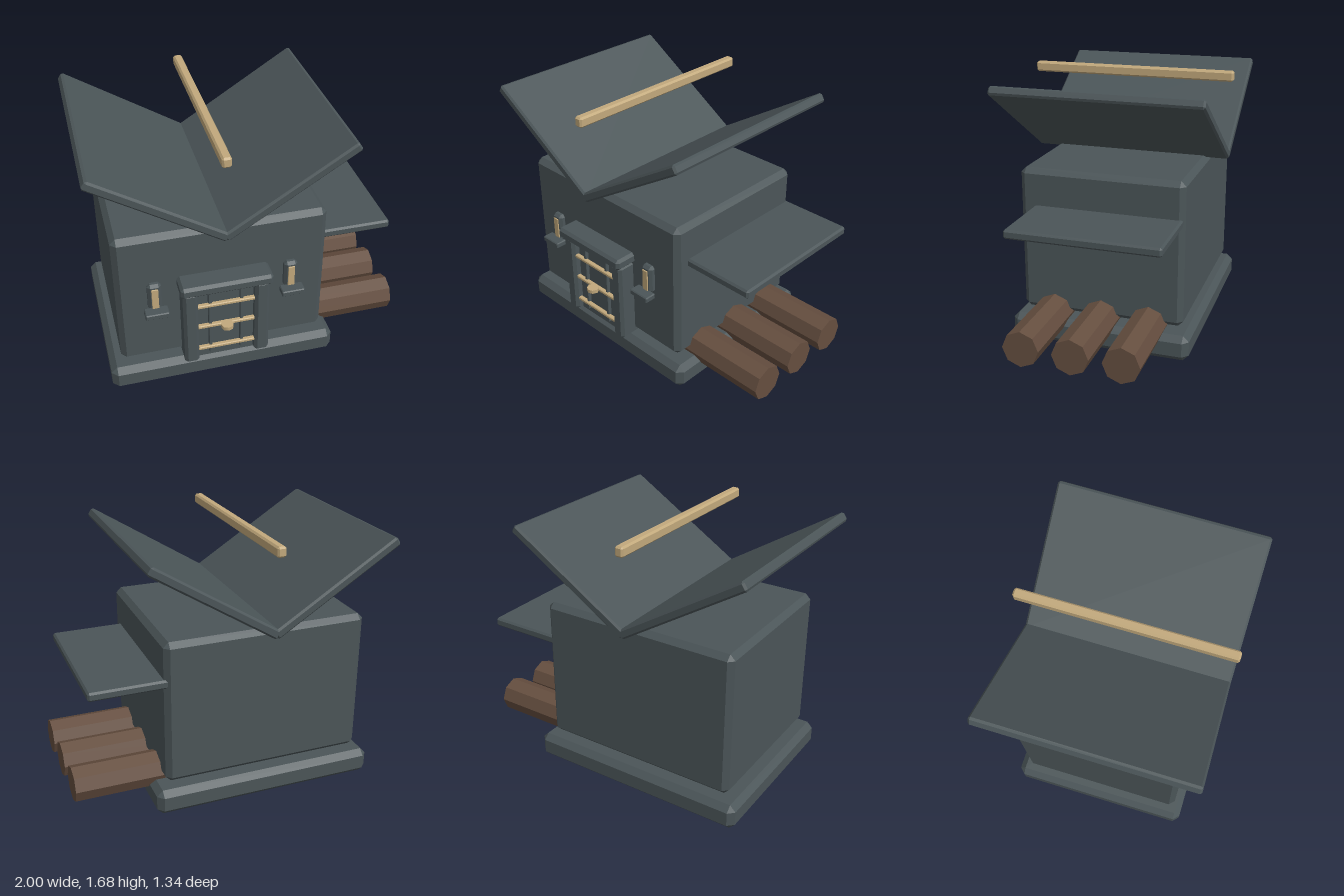
import * as THREE from 'three';
import { ConvexGeometry } from 'three/addons/geometries/ConvexGeometry.js';

const material = (name, color) => {
  const m = new THREE.MeshStandardMaterial({ color });
  m.name = name;
  return m;
};

// Box with flat bevelled edges
function bevelBox(w, h, d, bevel) {
  const half = [w / 2, h / 2, d / 2];
  const points = [];
  for (let axis = 0; axis < 3; axis++)
    for (const sx of [-1, 1]) for (const sy of [-1, 1]) for (const sz of [-1, 1]) {
      const s = [sx, sy, sz];
      points.push(new THREE.Vector3(...half.map((v, i) => s[i] * (i === axis ? v : v - bevel))));
    }
  return new ConvexGeometry(points);
}

export function createModel() {
  const slate = material('slate', 0x4b5558);
  const timber = material('pale timber', 0xc2a97c);
  const bark = material('brown log', 0x654e3f);
  const model = new THREE.Group();
  model.name = 'hut';
  const midX = -0.21;

  const add = (name, geometry, mat, x, y, z, parent = model) => {
    const mesh = new THREE.Mesh(geometry, mat);
    mesh.name = name;
    mesh.position.set(x, y, z);
    parent.add(mesh);
    return mesh;
  };
  // Bevelled block given by its extents on each axis
  const block = (name, mat, [x0, x1], [y0, y1], [z0, z1], bevel, parent) =>
    add(name, bevelBox(x1 - x0, y1 - y0, z1 - z0, bevel), mat,
      (x0 + x1) / 2, (y0 + y1) / 2, (z0 + z1) / 2, parent);

  // Plinth, walls and side canopy
  block('plinth', slate, [-0.945, 0.525], [0, 0.167], [-0.585, 0.582], 0.038);
  block('walls', slate, [-0.87, 0.45], [0.195, 1.135], [-0.53, 0.525], 0.034);
  block('sideCanopy', slate, [0.38, 0.912], [0.843, 0.9], [-0.517, 0.432], 0.012);

  // Roof slabs rising outward from the middle
  const inner = -0.012, outer = 0.917, slope = Math.atan(0.63);
  for (const side of [-1, 1]) {
    const mid = (inner + outer) / 2;
    const slab = add(side > 0 ? 'leftRoofSlab' : 'rightRoofSlab',
      bevelBox(outer - inner, 0.06, 1.316, 0.012), slate,
      midX + side * mid * Math.cos(slope), 1.145 + mid * Math.sin(slope), 0);
    slab.rotation.z = side * slope;
  }
  block('ridgeBeam', timber, [-0.24, -0.183], [1.62, 1.685], [-0.666, 0.664], 0.011);

  // Door with surround
  const door = new THREE.Group();
  door.name = 'door';
  model.add(door);
  block('doorLeaf', slate, [midX - 0.205, midX + 0.205], [0.158, 0.735], [0.46, 0.585], 0.022, door);
  block('lintel', slate, [midX - 0.287, midX + 0.287], [0.737, 0.812], [0.48, 0.665], 0.018, door);
  for (const side of [-1, 1]) {
    add('jamb', bevelBox(0.093, 0.565, 0.158, 0.019), slate, midX + side * 0.226, 0.459, 0.557, door);
    add('doorRib', bevelBox(0.021, 0.495, 0.03, 0.004), slate, midX + side * 0.1, 0.465, 0.593, door);
  }
  for (const y of [0.27, 0.45, 0.615])
    add('doorBand', bevelBox(0.366, 0.023, 0.03, 0.005), timber, midX, y, 0.606, door);
  add('doorKnob', new THREE.CylinderGeometry(0.04, 0.04, 0.025, 8), timber, midX, 0.451, 0.636, door);

  // Slit windows
  for (const side of [-1, 1]) {
    const win = new THREE.Group();
    win.name = side > 0 ? 'leftWindow' : 'rightWindow';
    model.add(win);
    const x = midX + side * 0.428;
    block('windowFrame', slate, [x - 0.043, x + 0.043], [0.61, 0.802], [0.51, 0.565], 0.018, win);
    block('windowPane', timber, [x - 0.021, x + 0.021], [0.63, 0.775], [0.564, 0.573], 0.002, win);
    block('windowSill', slate, [x - 0.073, x + 0.073], [0.594, 0.632], [0.555, 0.632], 0.006, win);
  }

  // Logs stacked beside the hut
  const logGeometry = new THREE.CylinderGeometry(0.115, 0.115, 0.95, 8).rotateZ(Math.PI / 2).toNonIndexed();
  logGeometry.computeVertexNormals();
  for (const z of [-0.313, -0.002, 0.309]) add('log', logGeometry, bark, 0.525, 0.197, z);

  return model;
}
